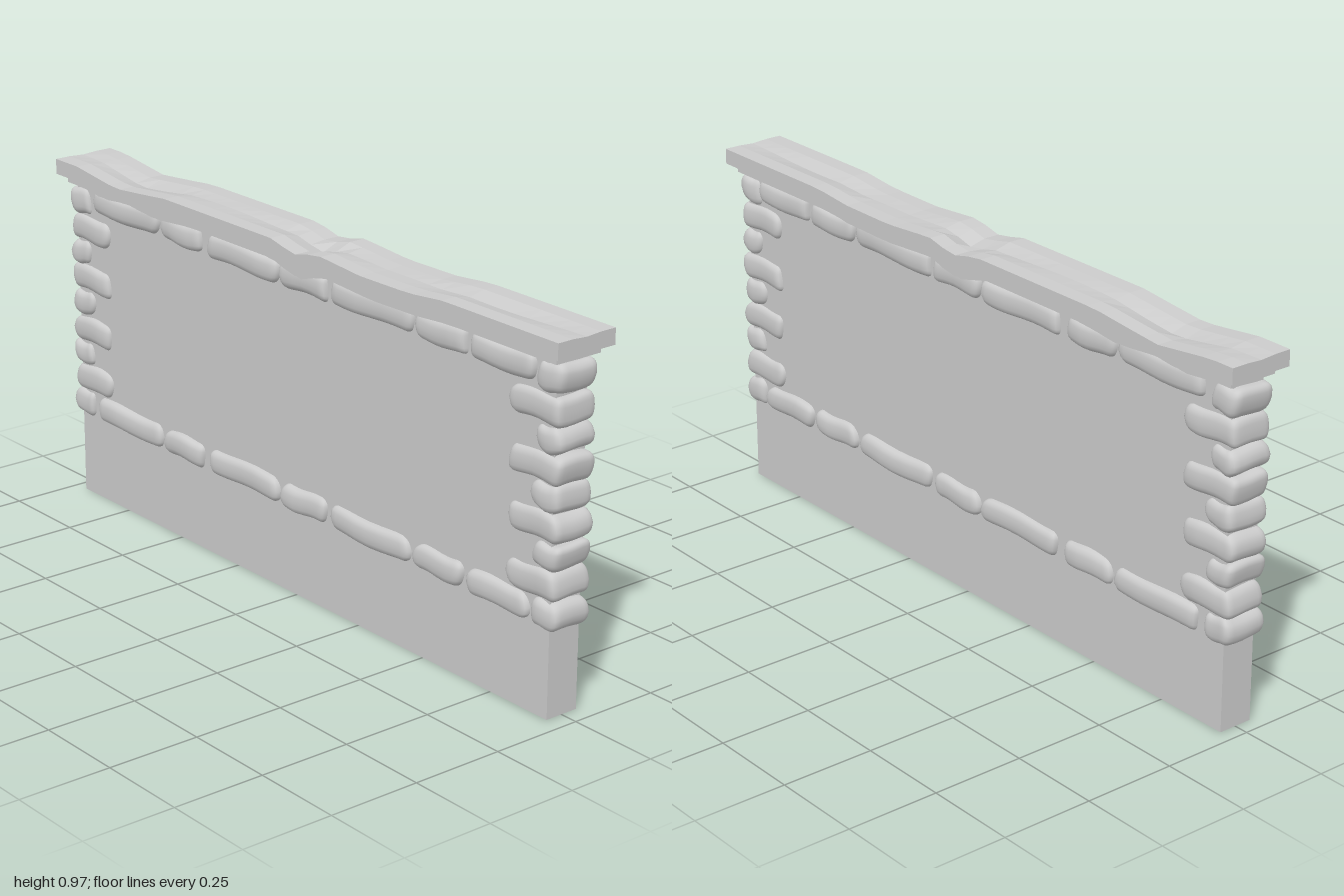
import * as THREE from 'three';
import { mergeVertices } from 'three/addons/utils/BufferGeometryUtils.js';

const material = new THREE.MeshStandardMaterial({ color: 0xcccccc });
const flatMaterial = new THREE.MeshStandardMaterial({ color: 0xcccccc, flatShading: true });

// Straight-line interpolation through [x, value] points
function along(points, x) {
  for (let i = 1; i < points.length; i++) {
    const [x0, v0] = points[i - 1], [x1, v1] = points[i];
    if (x <= x1) return v0 + (v1 - v0) * Math.max(0, (x - x0) / (x1 - x0));
  }
  return points[points.length - 1][1];
}

// Worn stone: a box with rounded edges, bulging faces and a gentle wobble
function stone(name, x0, x1, y0, y1, depth, seed) {
  const half = new THREE.Vector3((x1 - x0) / 2, (y1 - y0) / 2, depth);
  const r = 0.017;
  let geo = new THREE.BoxGeometry(2, 2, 2, 14, 8, 8);
  geo.deleteAttribute('uv');
  geo.deleteAttribute('normal');
  geo = mergeVertices(geo);
  const pos = geo.attributes.position;
  const p = new THREE.Vector3(), inner = new THREE.Vector3();
  const inset = half.clone().subScalar(r), low = inset.clone().negate();
  for (let i = 0; i < pos.count; i++) {
    p.fromBufferAttribute(pos, i);
    // crowd the grid towards the edges
    for (const a of ['x', 'y', 'z']) p[a] = Math.sign(p[a]) * Math.pow(Math.abs(p[a]), 0.6);
    p.multiply(half);
    inner.copy(p).clamp(low, inset);
    p.sub(inner).normalize().multiplyScalar(r).add(inner);
    const u = p.x / half.x, v = p.y / half.y;
    p.z *= 1 - 0.13 * v * v - 0.04 * u * u + 0.03 * Math.sin(3 * u + seed * 2.3);
    p.x *= 1 - 0.012 * v * v / half.x * (1 + Math.sin(seed * 3.1) * 0.5);
    p.x += 0.004 * Math.sin(v * 2 + seed * 1.7);
    p.y += 0.003 * Math.sin(u * 3.2 + seed * 2.7) + 0.002 * Math.sin(p.z * 50 + seed);
    pos.setXYZ(i, p.x, p.y, p.z);
  }
  geo.computeVertexNormals();
  const mesh = new THREE.Mesh(geo, material);
  mesh.name = name;
  mesh.position.set((x0 + x1) / 2, (y0 + y1) / 2, 0);
  return mesh;
}

// Sagging slab; the top and bottom heights follow their own profiles
function slab(name, x0, x1, depth, top, bottom, groove) {
  const geo = new THREE.BoxGeometry(x1 - x0, 1, depth * 2, 40, 1, 4);
  geo.translate((x0 + x1) / 2, 0, 0);
  const pos = geo.attributes.position;
  for (let i = 0; i < pos.count; i++) {
    const x = pos.getX(i), z = pos.getZ(i), isTop = pos.getY(i) > 0;
    const middle = Math.max(0, 1 - Math.abs(z) / (depth * 0.5));
    const wear = middle * groove * (isTop ? 1 : 0.5) * (0.6 + 0.4 * Math.cos(x * 9));
    // the back edge wears a little differently from the front
    const shift = z < -0.01 ? 0.03 : 0;
    pos.setY(i, along(isTop ? top : bottom, x + shift) - wear);
  }
  geo.computeVertexNormals();
  const mesh = new THREE.Mesh(geo, flatMaterial);
  mesh.name = name;
  return mesh;
}

export function createModel() {
  const group = new THREE.Group();
  group.name = 'stoneWall';

  // Plain wall core
  const core = new THREE.Mesh(new THREE.BoxGeometry(1.91, 0.905, 0.096), material);
  core.name = 'wallCore';
  core.position.set(-0.005, 0.4525, 0);
  group.add(core);

  // Corner stones, alternating short and long
  const levels = [0.231, 0.306, 0.384, 0.451, 0.527, 0.599, 0.674, 0.744, 0.82, 0.896];
  const corners = new THREE.Group();
  corners.name = 'cornerStones';
  for (const side of [-1, 1]) {
    for (let i = 0; i < levels.length - 1; i++) {
      const outer = side < 0 ? -0.985 : 0.977;
      const inner = outer - side * (i % 2 ? 0.175 : 0.092 + 0.006 * Math.sin(i * 2));
      corners.add(stone('cornerStone', Math.min(outer, inner), Math.max(outer, inner),
        levels[i], levels[i + 1], 0.0635, i * 1.3 + side));
    }
  }
  group.add(corners);

  // Courses of stones along the bottom and top
  const spans = [[-0.875, -0.58], [-0.565, -0.388], [-0.362, -0.067], [-0.055, 0.13],
    [0.143, 0.452], [0.468, 0.652], [0.664, 0.882]];
  for (const [name, y0, y1] of [['bottomCourse', 0.234, 0.305], ['topCourse', 0.834, 0.906]]) {
    const course = new THREE.Group();
    course.name = name;
    spans.forEach(([a, b], i) => course.add(stone('courseStone', a, b, y0, y1, 0.068, i * 1.9 + y0 * 5)));
    group.add(course);
  }

  // Worn coping: a thin bed under a wide slab
  const top = [[-1, 0.968], [-0.9, 0.968], [-0.72, 0.946], [-0.6, 0.957], [-0.5, 0.967], [-0.05, 0.967],
    [0.04, 0.946], [0.13, 0.967], [0.3, 0.954], [0.48, 0.956], [0.6, 0.968], [1, 0.968]];
  const bottom = [[-1, 0.926], [-0.9, 0.926], [-0.8, 0.906], [-0.7, 0.918], [-0.57, 0.904], [-0.42, 0.922],
    [-0.07, 0.922], [0.04, 0.889], [0.13, 0.918], [0.32, 0.905], [0.48, 0.908], [0.6, 0.926], [1, 0.926]];
  group.add(slab('copingSlab', -1, 0.995, 0.09, top, bottom, 0.012));
  const bedTop = bottom.map(([x, y]) => [x, y + 0.006]);
  const bedBottom = bottom.map(([x, y]) => [x, Math.min(0.905, y - 0.012)]);
  group.add(slab('copingBed', -0.975, 0.97, 0.07, bedTop, bedBottom, 0.004));

  return group;
}
